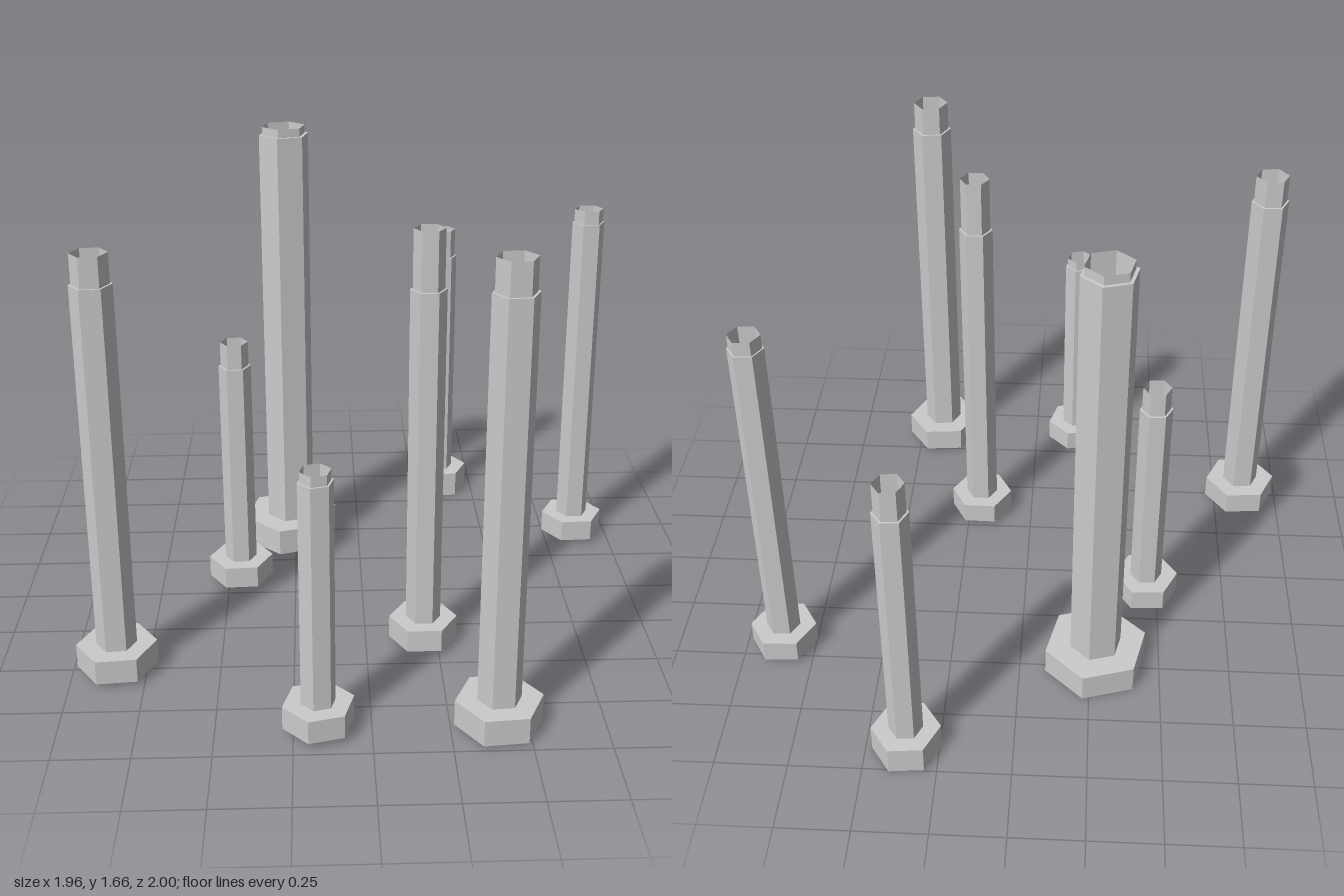
import * as THREE from 'three';

const material = new THREE.MeshStandardMaterial({ color: 0xcccccc, flatShading: true });
const openMaterial = new THREE.MeshStandardMaterial({ color: 0xcccccc, flatShading: true, side: THREE.DoubleSide });

const HEAD_TOP = 0.1;

// [x, z, turn in degrees, base y, shaft top, collar top, head radius, shaft radius, collar radius]
const POSTS = [
  [-0.27, -0.475, 16.7, 0, 1.63, 1.66, 0.185, 0.093, 0.08],
  [0.36, -0.9, 5, 0, 1.04, 1.15, 0.118, 0.058, 0.05],
  [0.86, -0.44, 2.5, 0.02, 1.3, 1.35, 0.118, 0.06, 0.054],
  [-0.455, -0.11, 3, 0.02, 0.87, 0.96, 0.118, 0.058, 0.05],
  [-0.85, 0.49, 5, 0.015, 1.37, 1.47, 0.136, 0.068, 0.06],
  [0.2, 0.355, -1, 0.02, 1.3, 1.5, 0.118, 0.06, 0.052],
  [-0.17, 0.86, 14, 0.02, 0.87, 0.905, 0.118, 0.057, 0.05],
  [0.405, 0.86, 5, 0.01, 1.45, 1.555, 0.144, 0.072, 0.063],
];

// Six-sided prism between two heights, with a corner on +x
function hexPrism(name, radius, y0, y1, open, mat) {
  const geometry = new THREE.CylinderGeometry(radius, radius, y1 - y0, 6, 1, open, Math.PI / 2);
  geometry.translate(0, (y0 + y1) / 2, 0);
  const mesh = new THREE.Mesh(geometry, mat);
  mesh.name = name;
  return mesh;
}

function createPost([x, z, turn, base, shaftTop, collarTop, headR, shaftR, collarR]) {
  const post = new THREE.Group();
  post.name = 'hexPost';

  // Wide solid hexagonal foot
  post.add(hexPrism('head', headR, base, HEAD_TOP, false, material));

  // Shaft wall, stepping in to a narrow ledge at the top
  const profile = [[shaftR, HEAD_TOP], [shaftR, shaftTop], [collarR, shaftTop]]
    .map(([r, y]) => new THREE.Vector2(r, y));
  const shaft = new THREE.Mesh(new THREE.LatheGeometry(profile, 6, Math.PI / 2), openMaterial);
  shaft.name = 'shaft';
  post.add(shaft);

  // Thin open collar, continuing down inside the shaft as its bore
  post.add(hexPrism('collar', collarR, HEAD_TOP, collarTop, true, openMaterial));

  post.position.set(x, 0, z);
  post.rotation.y = THREE.MathUtils.degToRad(turn);
  return post;
}

export function createModel() {
  const model = new THREE.Group();
  model.name = 'hexPosts';
  for (const spec of POSTS) model.add(createPost(spec));
  return model;
}
